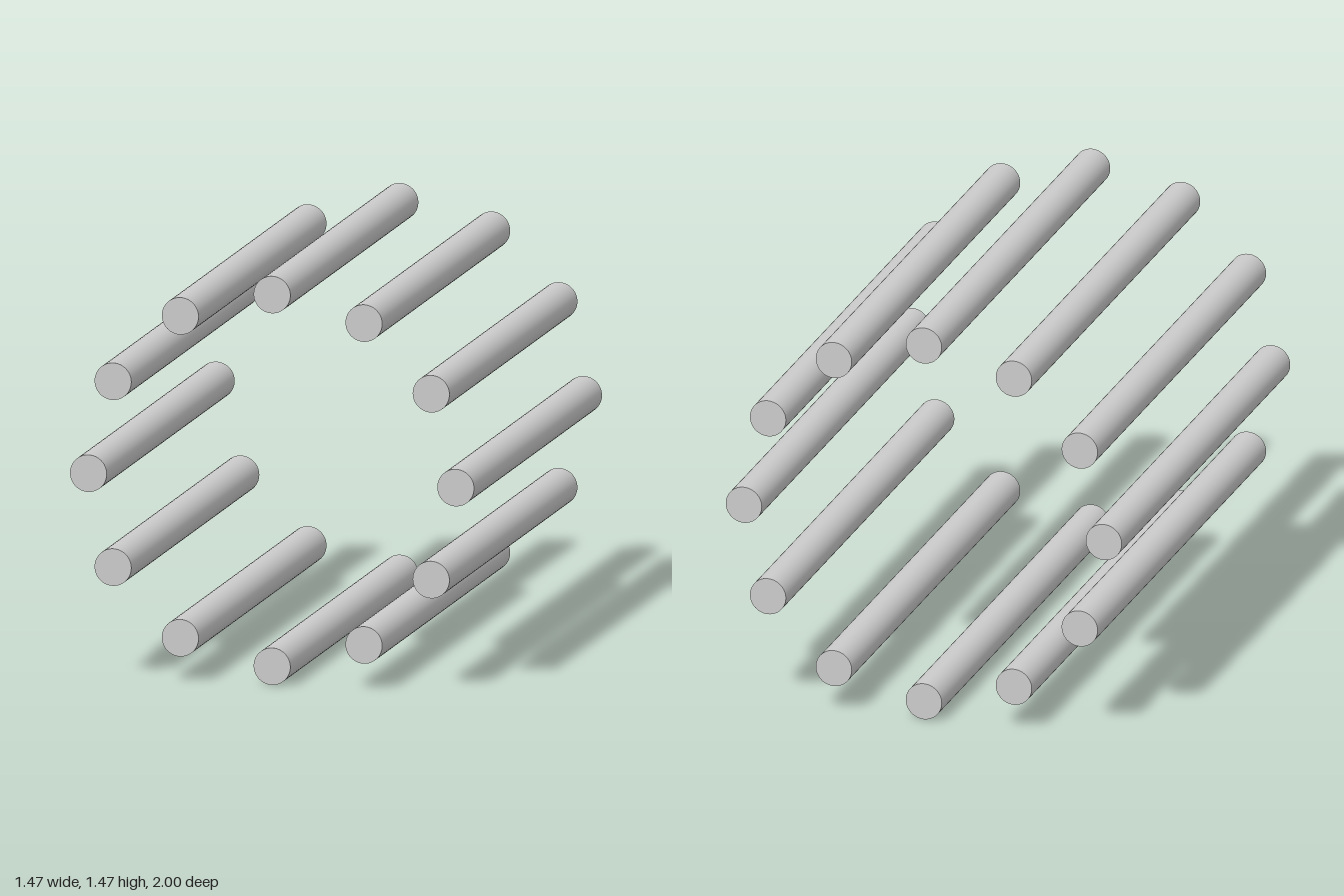
import * as THREE from 'three';

const COUNT = 12;
const RING_RADIUS = 2 / 3;
const ROD_RADIUS = 1 / 15;
const LENGTH = 2;

export function createModel() {
  const model = new THREE.Group();
  model.name = 'rodRing';
  const material = new THREE.MeshStandardMaterial({ color: 0xcccccc });

  // One closed round rod, laid along z and shared by the whole ring
  const rod = new THREE.CylinderGeometry(ROD_RADIUS, ROD_RADIUS, LENGTH, 48).rotateX(Math.PI / 2);

  // Parallel rods evenly spaced on a circle, the lowest one resting on the ground
  for (let i = 0; i < COUNT; i++) {
    const angle = (i / COUNT) * Math.PI * 2;
    const mesh = new THREE.Mesh(rod, material);
    mesh.name = `rod${i + 1}`;
    mesh.position.set(
      Math.cos(angle) * RING_RADIUS,
      RING_RADIUS + ROD_RADIUS + Math.sin(angle) * RING_RADIUS,
      0
    );
    model.add(mesh);
  }
  return model;
}
